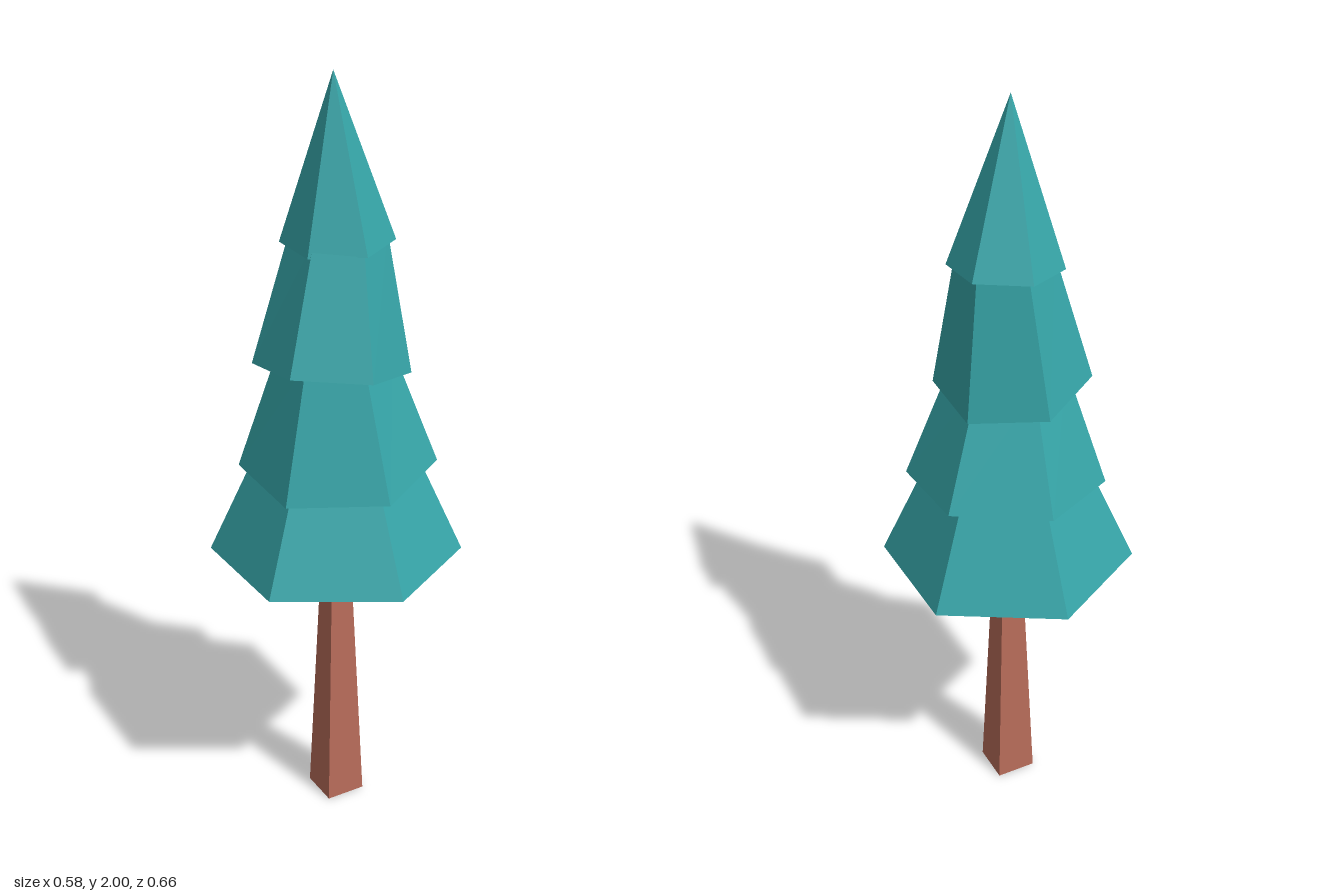
import * as THREE from 'three';

const leaf = new THREE.MeshStandardMaterial({ color: 0x36a5a8, flatShading: true });
const bark = new THREE.MeshStandardMaterial({ color: 0xb86c5a, flatShading: true });

// Hexagonal foliage tier: base ring and top ring each have a centre [x, y, z]
// and a radius; the base ring is tilted by slopes along x and z.
function tier(name, base, baseRadius, top, topRadius, slopeX, slopeZ) {
  const geo = new THREE.CylinderGeometry(topRadius, baseRadius, 1, 6, 1);
  const pos = geo.attributes.position;
  for (let i = 0; i < pos.count; i++) {
    const x = pos.getX(i), z = pos.getZ(i);
    const isTop = pos.getY(i) > 0;
    const c = isTop ? top : base;
    const lift = isTop ? 0 : x * slopeX + z * slopeZ;
    pos.setXYZ(i, x + c[0], c[1] + lift, z + c[2]);
  }
  geo.computeVertexNormals();
  const mesh = new THREE.Mesh(geo, leaf);
  mesh.name = name;
  return mesh;
}

export function createModel() {
  const tree = new THREE.Group();
  tree.name = 'pineTree';

  // Tapered square trunk
  const trunkGeo = new THREE.CylinderGeometry(0.027 * Math.SQRT2, 0.055 * Math.SQRT2, 0.78, 4, 1);
  trunkGeo.rotateY(Math.PI / 4);
  trunkGeo.translate(0, 0.39, 0);
  const trunk = new THREE.Mesh(trunkGeo, bark);
  trunk.name = 'trunk';
  tree.add(trunk);

  // Foliage, lowest tier first; each top is tucked inside the next tier
  tree.add(
    tier('lowestTier', [0, 0.76, 0], 0.332, [0, 1.06, 0], 0.195, 0, 0),
    tier('lowerTier', [0.01, 1.003, -0.008], 0.257, [-0.002, 1.32, 0], 0.142, 0.07, -0.07),
    tier('upperTier', [-0.018, 1.275, 0.01], 0.199, [0.007, 1.62, 0], 0.118, -0.13, 0.1),
    tier('topTier', [0.01, 1.592, -0.01], 0.142, [-0.012, 2, 0.008], 0, 0.06, -0.06),
  );
  return tree;
}
